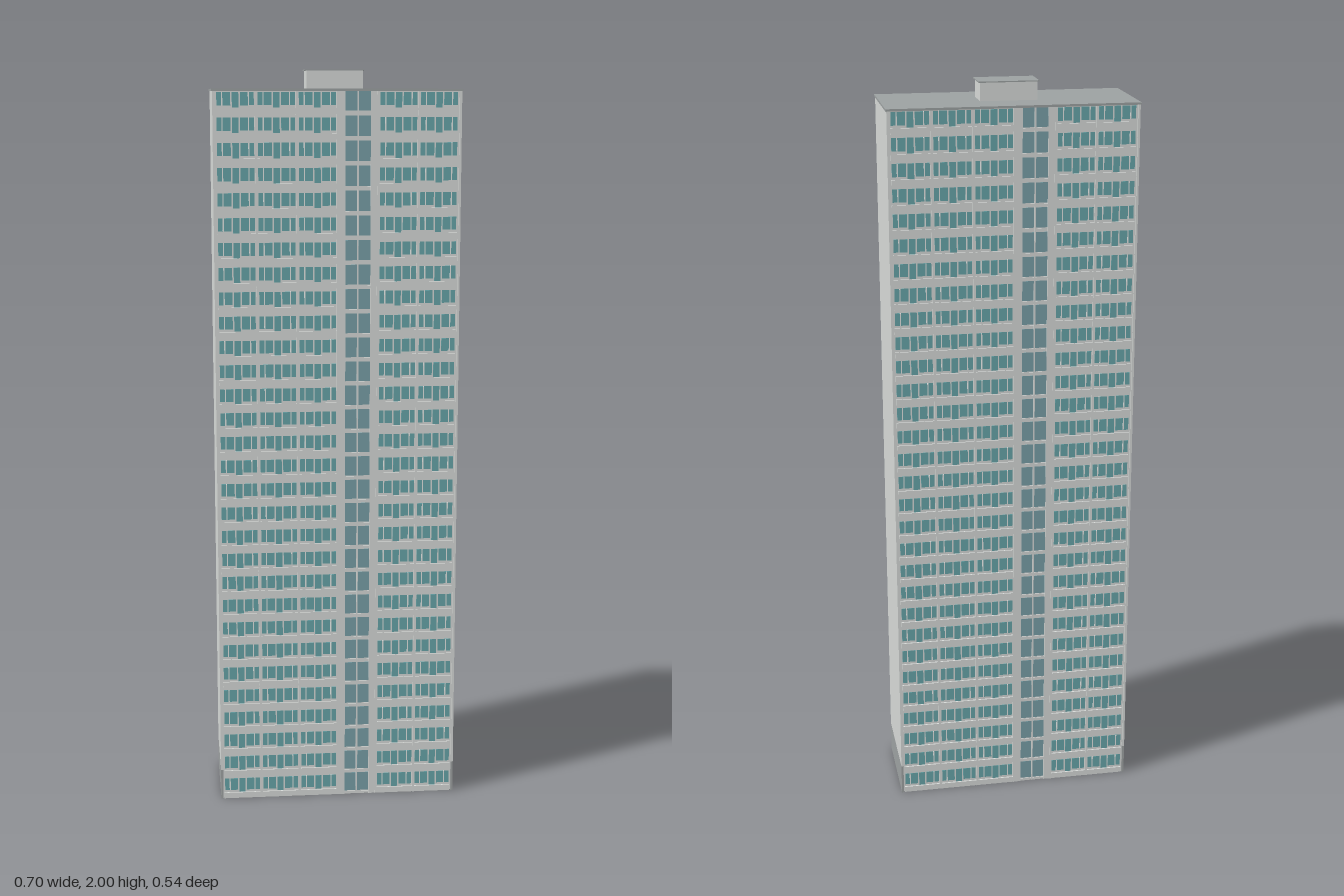
import * as THREE from 'three';
import { mergeGeometries } from 'three/addons/utils/BufferGeometryUtils.js';

const W = 0.654, D = 0.259, H = 1.95;      // tower width, depth, height
const FLOORS = 30, BAYS = 6, CORE = 3;     // the fourth bay is the stair core
const END = 0.006;                         // end wall thickness
const WALL = 0.1245, FACE = 0.1285;        // recessed wall plane, outer facade plane

const mat = (name, color) => Object.assign(new THREE.MeshStandardMaterial({ color }), { name });

// box given by its centre x, bottom y and z range
function box(w, h, x, y, z0, z1) {
  return new THREE.BoxGeometry(w, h, z1 - z0).translate(x, y + h / 2, (z0 + z1) / 2);
}

function part(name, geometries, material) {
  const mesh = new THREE.Mesh(mergeGeometries(geometries), material);
  mesh.name = name;
  return mesh;
}

// one long facade, facing +z
function createFacade(m) {
  const g = new THREE.Group();
  const fh = H / FLOORS, bw = (W - 2 * END) / BAYS, left = -W / 2 + END;
  const bands = [], piers = [], glass = [], coreGlass = [], frames = [];

  for (let b = 0; b < BAYS; b++) {
    const x = left + (b + 0.5) * bw;
    // thin fins between bays
    if (b > 0) piers.push(box(0.006, H - 0.006, left + b * bw, 0, WALL, FACE + 0.001));
    if (b === CORE) {
      // solid piers either side of the core glazing
      for (const s of [-1, 1]) piers.push(box(0.02, H - 0.006, x + s * (bw / 2 - 0.01), 0, WALL, FACE));
      piers.push(box(0.004, H - 0.006, x, 0, WALL, FACE - 0.001));
    }
    for (let f = 0; f < FLOORS; f++) {
      const y = f * fh;
      if (b === CORE) {
        for (const s of [-1, 1]) coreGlass.push(box(0.031, fh - 0.012, x + s * 0.0178, y + 0.009, WALL, WALL + 0.001));
        bands.push(box(bw - 0.04, 0.007, x, y, WALL, FACE - 0.002));
        continue;
      }
      // floor band, two windows and a taller balcony door
      bands.push(box(bw - 0.006, 0.016, x, y, WALL, FACE));
      for (const s of [-1, 1]) {
        const wx = x + s * 0.0305;
        glass.push(box(0.036, 0.034, wx, y + 0.023, WALL, WALL + 0.0012));
        frames.push(box(0.003, 0.034, wx + s * 0.004, y + 0.023, WALL, WALL + 0.002));
      }
      glass.push(box(0.017, 0.04, x, y + 0.017, WALL, WALL + 0.0012));
    }
  }
  g.add(part('floorBands', bands, m.concrete), part('piers', piers, m.concrete),
    part('windows', glass, m.glass), part('coreWindows', coreGlass, m.coreGlass),
    part('windowFrames', frames, m.frame));
  return g;
}

export function createModel() {
  const m = {
    concrete: mat('light concrete', 0xd6d9d7),
    plinth: mat('grey plinth', 0x9da1a1),
    roof: mat('roof grey', 0x9ca1a1),
    glass: mat('teal glass', 0x66a4a8),
    coreGlass: mat('blue grey glass', 0x789fa7),
    frame: mat('window frame', 0xe2e4e2),
  };
  const model = new THREE.Group();
  model.name = 'apartmentTower';
  const tower = new THREE.Group();
  tower.name = 'tower';
  tower.rotation.y = -THREE.MathUtils.degToRad(28);
  model.add(tower);

  // main block
  tower.add(part('mainBlock', [box(W - 2 * END, H - 0.006, 0, 0, -WALL, WALL)], m.concrete));

  // facades, identical under a half turn
  ['frontFacade', 'backFacade'].forEach((name, i) => {
    const facade = createFacade(m);
    facade.name = name;
    facade.rotation.y = i * Math.PI;
    tower.add(facade);
  });

  // blank end walls with a darker base
  const walls = [], bases = [];
  for (const s of [-1, 1]) {
    const x = s * (W / 2 - END / 2);
    bases.push(box(END, 0.085, x, 0, -D / 2, D / 2));
    walls.push(box(END, H - 0.006 - 0.085, x, 0.085, -D / 2, D / 2));
  }
  tower.add(part('endWalls', walls, m.concrete), part('endWallBases', bases, m.plinth));

  // roof slab and the plant room on it
  tower.add(part('roofSlab', [box(W + 0.004, 0.006, 0, H - 0.006, -D / 2 - 0.001, D / 2 + 0.001)], m.roof));
  tower.add(part('plantRoom', [box(0.15, 0.047, 0, H, -0.0405, 0.0405)], m.concrete));
  tower.add(part('plantRoomRoof', [box(0.158, 0.003, 0, H + 0.047, -0.0435, 0.0435)], m.roof));
  return model;
}
